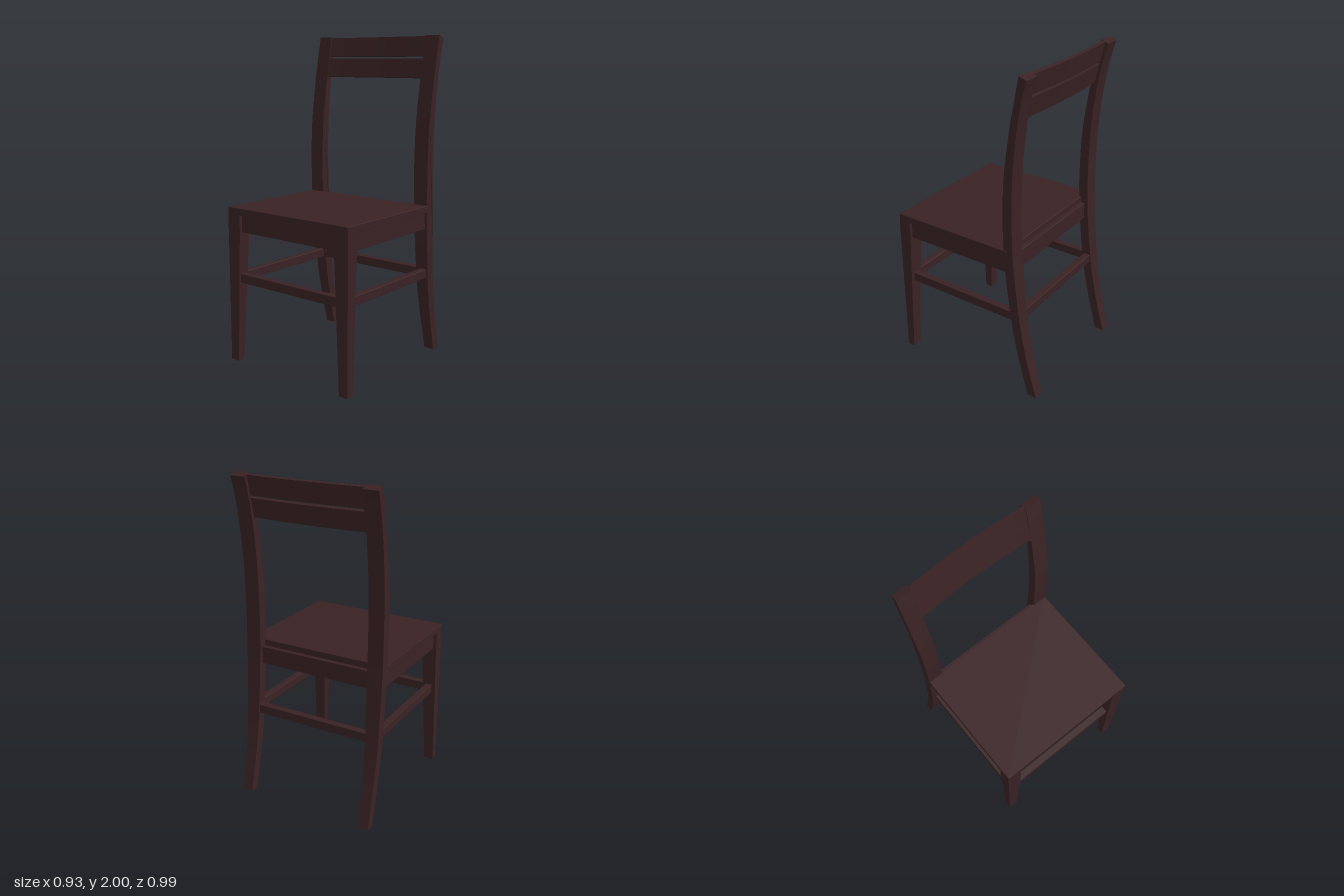
import * as THREE from 'three';
import { toCreasedNormals } from 'three/addons/utils/BufferGeometryUtils.js';
import { RoundedBoxGeometry } from 'three/addons/geometries/RoundedBoxGeometry.js';

const wood = new THREE.MeshStandardMaterial({ color: 0x3a2224 });
wood.name = 'dark wood';

export function createModel() {
  const chair = new THREE.Group();
  chair.name = 'chair';

  const add = (name, geometry) => {
    const mesh = new THREE.Mesh(geometry, wood);
    mesh.name = name;
    chair.add(mesh);
  };
  // Box given by its extents on each axis, with slightly eased edges
  const block = (name, [x0, x1], [y0, y1], [z0, z1]) => {
    const g = new RoundedBoxGeometry(x1 - x0, y1 - y0, z1 - z0, 1, 0.004);
    g.translate((x0 + x1) / 2, (y0 + y1) / 2, (z0 + z1) / 2);
    add(name, g);
  };
  // Move every vertex by a rule
  const reshape = (g, rule) => {
    const p = g.attributes.position;
    const v = new THREE.Vector3();
    for (let i = 0; i < p.count; i++) {
      rule(v.fromBufferAttribute(p, i));
      p.setXYZ(i, v.x, v.y, v.z);
    }
    return toCreasedNormals(g, 0.5);
  };

  // Seat board
  block('seat', [-0.465, 0.465], [0.932, 0.976], [-0.296, 0.494]);

  // Open frame of four apron boards under the seat
  const apronY = [0.825, 0.936];
  block('frontApron', [-0.42, 0.42], apronY, [0.445, 0.475]);
  block('backApron', [-0.42, 0.42], apronY, [-0.322, -0.292]);
  block('leftApron', [0.415, 0.445], apronY, [-0.31, 0.46]);
  block('rightApron', [-0.445, -0.415], apronY, [-0.31, 0.46]);

  // Front legs: outer faces straight, inner faces tapering below the apron
  for (const side of [-1, 1]) {
    const g = new THREE.BoxGeometry(0.097, 0.934, 0.079, 1, 9, 1);
    g.translate(side * 0.4165, 0.467, 0.4545);
    const leg = reshape(g, (v) => {
      const t = Math.max(0, 1 - v.y / 0.83);
      if (Math.abs(v.x) < 0.4) v.x += side * 0.035 * t;
      if (v.z < 0.45) v.z += 0.032 * t;
    });
    add(side > 0 ? 'leftFrontLeg' : 'rightFrontLeg', leg);
  }

  // Back posts: curved side profile as [y, front z, back z], floor to top
  const profile = [
    [0, -0.438, -0.496], [0.25, -0.376, -0.433], [0.5, -0.329, -0.388], [0.85, -0.292, -0.352],
    [1.1, -0.279, -0.339], [1.4, -0.284, -0.34], [1.65, -0.314, -0.36], [1.85, -0.349, -0.392], [2, -0.379, -0.426],
  ];
  const edge = (k) => new THREE.SplineCurve(
    profile.map((p, i) => new THREE.Vector2(-p[k], i === 8 && k === 2 ? 1.982 : p[0]))).getPoints(24);
  const outline = new THREE.Shape([...edge(2), ...edge(1).reverse()]);
  for (const [name, x] of [['leftBackPost', 0.368], ['rightBackPost', -0.465]]) {
    const g = new THREE.ExtrudeGeometry(outline, { depth: 0.097, bevelEnabled: false });
    g.rotateY(Math.PI / 2);
    const post = reshape(g, (v) => {
      // One face narrows below the seat
      v.x *= 1 - 0.32 * Math.max(0, 1 - v.y / 0.93);
      v.x += x;
    });
    add(name, post);
  }

  // Back slats: bowed backwards and leaning with the posts
  for (const [name, y0, y1] of [['lowerSlat', 1.747, 1.862], ['upperSlat', 1.877, 1.995]]) {
    const g = new THREE.BoxGeometry(0.76, y1 - y0, 0.022, 16, 1, 1);
    g.translate(0, (y0 + y1) / 2, -0.011);
    add(name, reshape(g, (v) => {
      const bow = 1 - (v.x / 0.38) ** 2;
      const z = v.z;
      v.z += -0.329 - 0.22 * (v.y - 1.745) - 0.018 * bow;
      v.y += 0.22 * z;
    }));
  }

  // Stretchers joining the legs
  const height = [0.508, 0.565];
  block('frontStretcher', [-0.4, 0.4], height, [0.435, 0.48]);
  block('backStretcher', [-0.4, 0.4], height, [-0.375, -0.33]);
  for (const side of [-1, 1]) {
    const x = side * 0.42;
    block(side > 0 ? 'leftStretcher' : 'rightStretcher', [x - 0.022, x + 0.022], height, [-0.35, 0.45]);
  }

  return chair;
}
